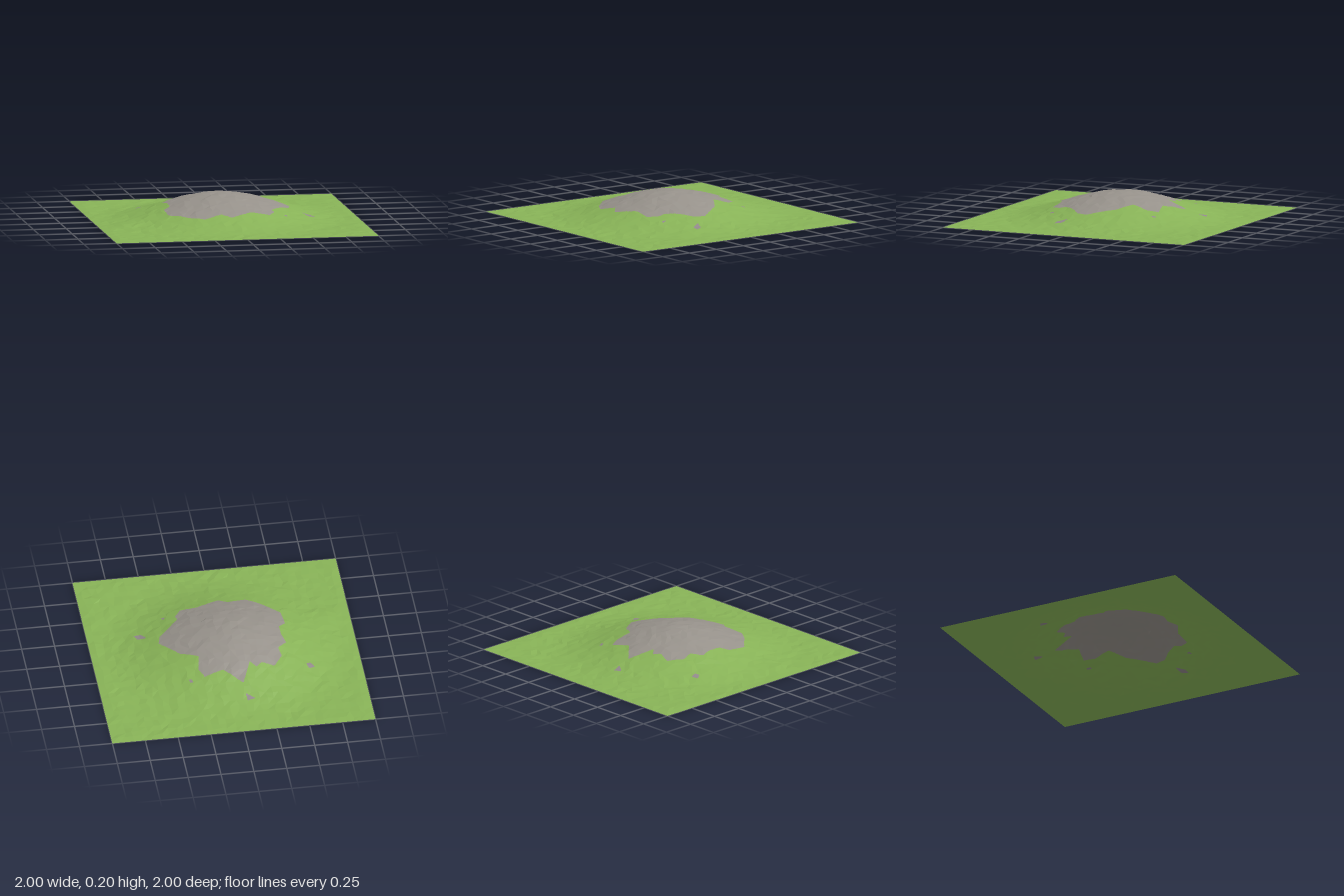
import * as THREE from 'three';

const CELLS = 36;

// Outline of the bare summit as x, z pairs
const SUMMIT = [
  [-0.07, -0.52], [0.065, -0.385], [0.21, -0.42], [0.245, -0.34], [0.225, -0.22], [0.355, -0.14],
  [0.42, -0.05], [0.49, 0.05], [0.47, 0.13], [0.395, 0.2], [0.31, 0.3], [0.32, 0.35],
  [0.27, 0.43], [0.14, 0.42], [0.06, 0.46], [-0.03, 0.51], [-0.1, 0.455], [-0.235, 0.5],
  [-0.34, 0.43], [-0.4, 0.365], [-0.475, 0.3], [-0.485, 0.14], [-0.43, 0.085], [-0.43, -0.02],
  [-0.455, -0.11], [-0.385, -0.18], [-0.4, -0.26], [-0.33, -0.365], [-0.235, -0.34],
  [-0.19, -0.38], [-0.145, -0.33],
];

// Small loose outcrops
const OUTCROPS = [
  [[-0.14, -0.66], [-0.08, -0.68], [-0.07, -0.61]],
  [[-0.64, -0.34], [-0.59, -0.36], [-0.58, -0.31], [-0.61, -0.3]],
  [[0.56, 0.17], [0.63, 0.19], [0.65, 0.24], [0.6, 0.24]],
  [[0.39, 0.38], [0.41, 0.35], [0.42, 0.39]],
  [[0.29, -0.42], [0.32, -0.44], [0.33, -0.41]],
];

function inside(poly, x, z) {
  let hit = false;
  for (let i = 0, j = poly.length - 1; i < poly.length; j = i++) {
    const [xi, zi] = poly[i], [xj, zj] = poly[j];
    if ((zi > z) !== (zj > z) && x < ((xj - xi) * (z - zi)) / (zj - zi) + xi) hit = !hit;
  }
  return hit;
}

// 0 grass, 1 summit rock, 2 outcrop
function zone(p) {
  if (inside(SUMMIT, p.x, p.z)) return 1;
  return OUTCROPS.some((o) => inside(o, p.x, p.z)) ? 2 : 0;
}

function seededRandom(seed) {
  return () => {
    seed = (seed * 1664525 + 1013904223) % 4294967296;
    return seed / 4294967296;
  };
}

function hillHeight(x, z) {
  const r = Math.min(1, Math.hypot(x + 0.03, z) / 0.95);
  const bump = 0.014 * Math.exp(-((x + 0.8) ** 2 + (z - 0.3) ** 2) / 0.012);
  return 0.098 * (1 + Math.cos(Math.PI * r)) + bump;
}

export function createModel() {
  const group = new THREE.Group();
  group.name = 'hill';
  const random = seededRandom(11);

  // Slightly jittered grid of ground points, flat along the border
  const points = [];
  for (let j = 0; j <= CELLS; j++) {
    for (let i = 0; i <= CELLS; i++) {
      const border = i === 0 || j === 0 || i === CELLS || j === CELLS;
      const dx = (random() - 0.5) * 0.024, dz = (random() - 0.5) * 0.024, dy = random() * 0.007;
      const x = (i / CELLS) * 2 - 1 + (border ? 0 : dx);
      const z = (j / CELLS) * 2 - 1 + (border ? 0 : dz);
      points.push(new THREE.Vector3(x, border ? 0 : hillHeight(x, z) + dy, z));
    }
  }

  // Facets are split only where they cross a colour edge
  const zones = [[], [], []];
  function addFacet(a, b, c, depth) {
    const za = zone(a);
    const mixed = za !== zone(b) || za !== zone(c);
    if (depth < 1 || (mixed && depth < 4)) {
      const ab = a.clone().lerp(b, 0.5), bc = b.clone().lerp(c, 0.5), ca = c.clone().lerp(a, 0.5);
      addFacet(a, ab, ca, depth + 1);
      addFacet(ab, b, bc, depth + 1);
      addFacet(ca, bc, c, depth + 1);
      addFacet(ab, bc, ca, depth + 1);
      return;
    }
    const centre = a.clone().add(b).add(c).divideScalar(3);
    for (const p of [a, b, c]) zones[zone(centre)].push(p);
  }

  for (let j = 0; j < CELLS; j++) {
    for (let i = 0; i < CELLS; i++) {
      const k = j * (CELLS + 1) + i;
      const a = points[k], b = points[k + CELLS + 1], c = points[k + CELLS + 2], d = points[k + 1];
      if (random() < 0.5) {
        addFacet(a, b, d, 0);
        addFacet(b, c, d, 0);
      } else {
        addFacet(a, b, c, 0);
        addFacet(a, c, d, 0);
      }
    }
  }

  // One faceted sheet per ground type
  const types = [
    ['grassSlope', 'grass', 0x88b357],
    ['rockySummit', 'rock', 0x97928b],
    ['looseOutcrops', 'weatheredRock', 0x92898b],
  ];
  types.forEach(([name, materialName, color], t) => {
    const geometry = new THREE.BufferGeometry().setFromPoints(zones[t]);
    geometry.computeVertexNormals();
    const material = new THREE.MeshStandardMaterial({ color, flatShading: true, side: THREE.DoubleSide });
    material.name = materialName;
    const mesh = new THREE.Mesh(geometry, material);
    mesh.name = name;
    group.add(mesh);
  });
  return group;
}
